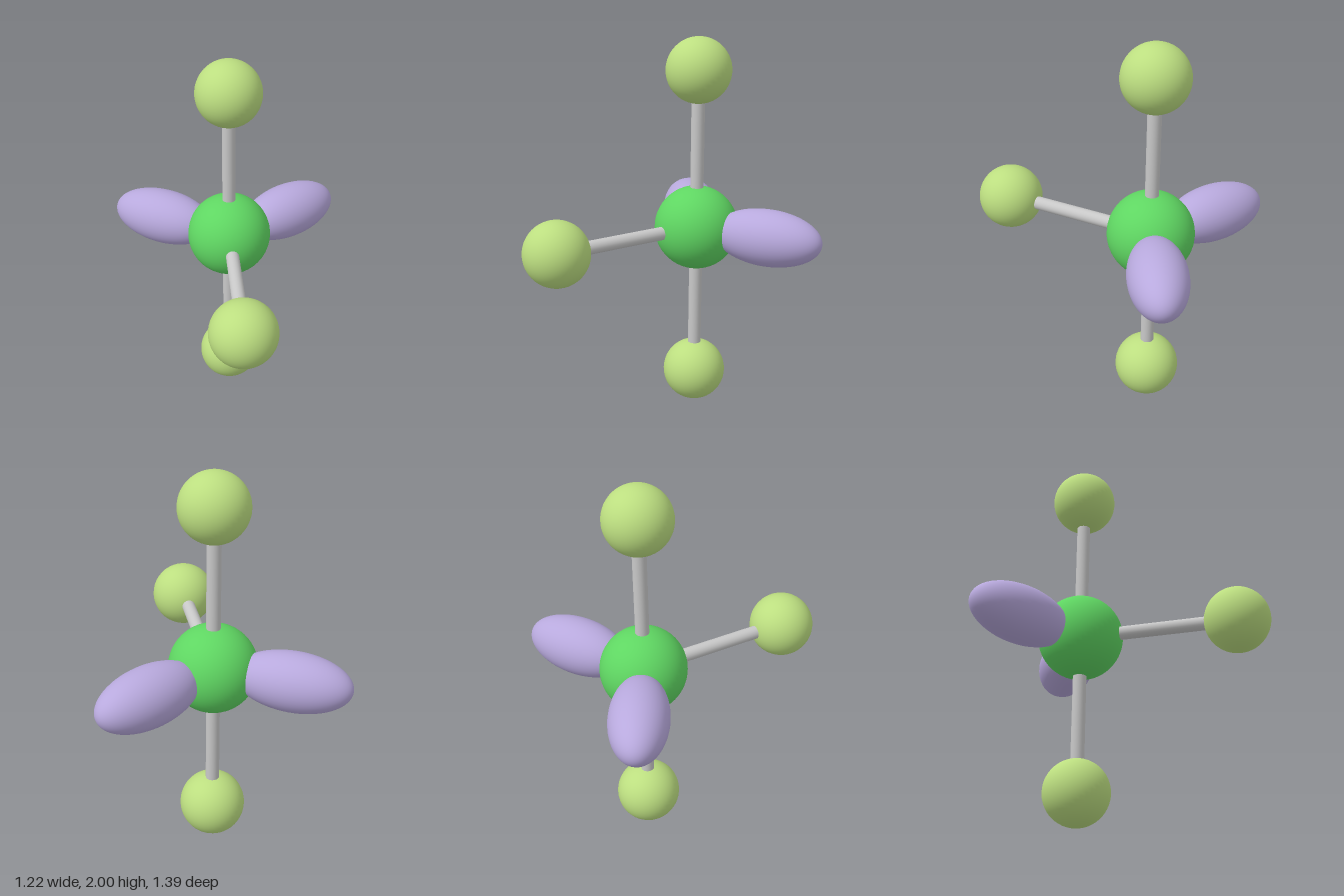
import * as THREE from 'three';

const CENTER = new THREE.Vector3(0, 1, -0.303);
const BOND = 0.83;
const UP = new THREE.Vector3(0, 1, 0);

function material(name, color) {
  const m = new THREE.MeshStandardMaterial({ color });
  m.name = name;
  return m;
}

export function createModel() {
  const green = material('green', 0x5fd662);
  const lime = material('lime', 0xbcde80);
  const lavender = material('lavender', 0xb8a9dd);
  const grey = material('grey', 0xc8c8c8);

  const model = new THREE.Group();
  model.name = 'molecule';

  function add(name, geometry, mat, direction, distance) {
    const mesh = new THREE.Mesh(geometry, mat);
    mesh.name = name;
    mesh.position.copy(CENTER).addScaledVector(direction, distance);
    mesh.quaternion.setFromUnitVectors(UP, direction);
    model.add(mesh);
  }

  // Central atom
  add('centralAtom', new THREE.SphereGeometry(0.222, 48, 32), green, UP, 0);

  // Three outer atoms on rods, forming a T
  const atom = new THREE.SphereGeometry(0.169, 40, 28);
  const rod = new THREE.CylinderGeometry(0.035, 0.035, BOND, 24);
  const arms = {
    top: new THREE.Vector3(0, 1, 0),
    bottom: new THREE.Vector3(0, -1, 0),
    front: new THREE.Vector3(0, 0, 1),
  };
  for (const [side, direction] of Object.entries(arms)) {
    add(side + 'Rod', rod, grey, direction, BOND / 2);
    add(side + 'Atom', atom, lime, direction, BOND);
  }

  // Two ellipsoid lobes spread 120 degrees apart at the back
  const lobe = new THREE.SphereGeometry(1, 40, 32).scale(0.148, 0.292, 0.148);
  for (const side of [1, -1]) {
    const direction = new THREE.Vector3(side * Math.sin(Math.PI / 3), 0, -0.5);
    add(side > 0 ? 'leftLobe' : 'rightLobe', lobe, lavender, direction, 0.4);
  }

  return model;
}
